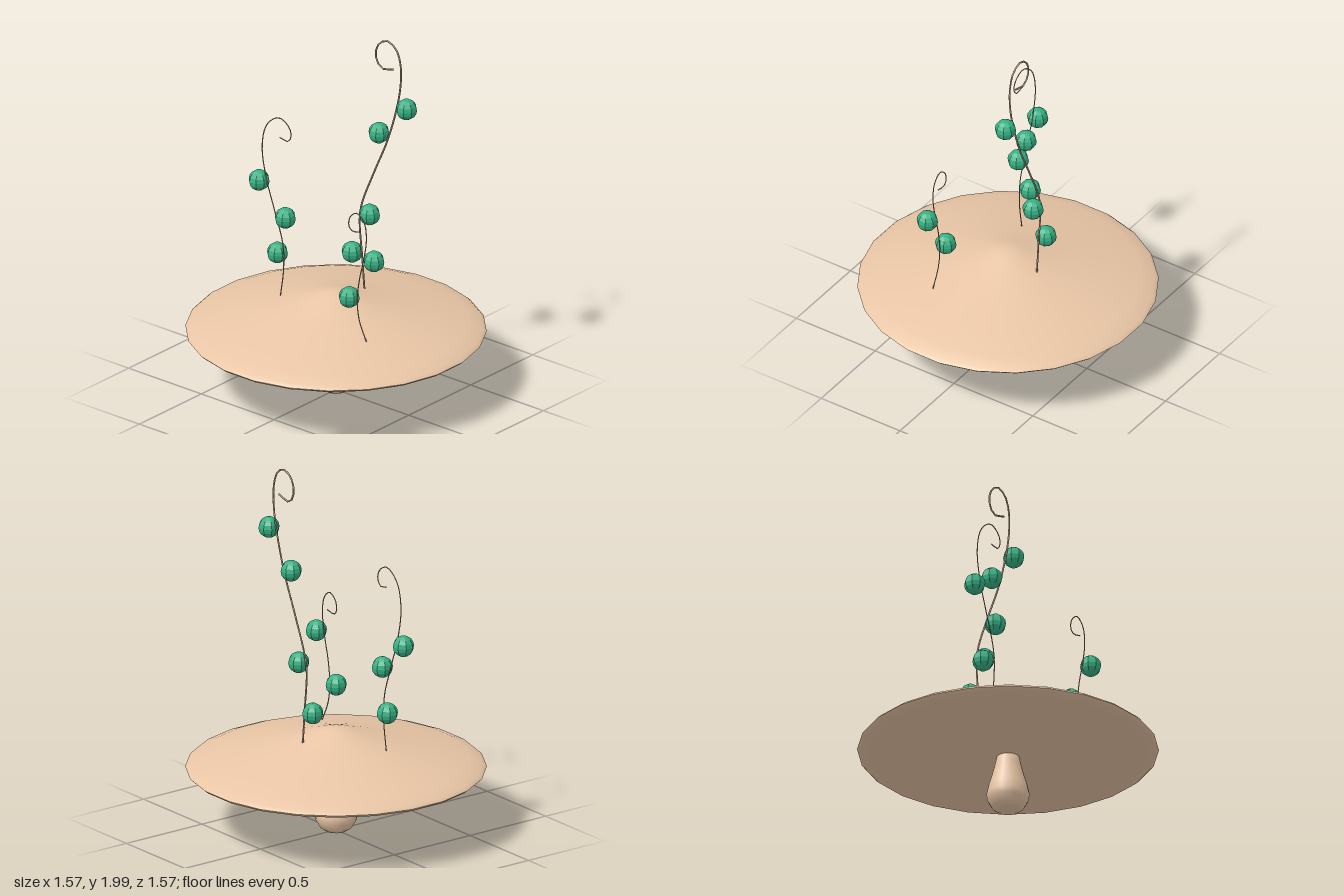
import * as THREE from 'three';

const tan = new THREE.MeshStandardMaterial({ color: 0xe8c5a5, side: THREE.DoubleSide });
const stalkMat = new THREE.MeshStandardMaterial({ color: 0xb89a82 });
const green = new THREE.MeshStandardMaterial({ color: 0x36b184, flatShading: true });

function add(parent, name, geometry, material) {
  const mesh = new THREE.Mesh(geometry, material);
  mesh.name = name;
  parent.add(mesh);
  return mesh;
}

// Surface of revolution from [radius, height] pairs, bottom to top
function lathe(points, sides, turn = 0) {
  const geo = new THREE.LatheGeometry(points.map(p => new THREE.Vector2(...p)), sides);
  return geo.rotateY(turn);
}

// Each tendril lies in a plane of constant z; balls are [x, y, z]
const TENDRILS = [
  {
    name: 'tallTendril', z: -0.2, radius: 0.005,
    path: [[0.025, 0.52], [0.01, 0.7], [-0.008, 0.916], [0.008, 1.01], [0.09, 1.21], [0.19, 1.44],
      [0.26, 1.68], [0.277, 1.81], [0.272, 1.89], [0.245, 1.96], [0.187, 1.994], [0.13, 1.967],
      [0.103, 1.91], [0.113, 1.856], [0.145, 1.826], [0.23, 1.845]],
    balls: [[-0.06, 0.71, -0.2], [0.06, 0.96, -0.2], [0.125, 1.45, -0.2], [0.315, 1.64, -0.2]],
  },
  {
    name: 'rightTendril', z: 0.11, radius: 0.003,
    path: [[-0.288, 0.5], [-0.267, 0.652], [-0.272, 0.8], [-0.33, 0.98], [-0.388, 1.154],
      [-0.414, 1.312], [-0.393, 1.433], [-0.35, 1.49], [-0.293, 1.518], [-0.235, 1.49],
      [-0.214, 1.444], [-0.235, 1.4], [-0.293, 1.407]],
    balls: [[-0.435, 1.12, 0.11], [-0.255, 0.955, 0.11], [-0.33, 0.725, 0.085]],
  },
  {
    name: 'leftTendril', z: 0.21, radius: 0.003,
    path: [[0.388, 0.467], [0.34, 0.573], [0.325, 0.68], [0.34, 0.81], [0.372, 0.943],
      [0.388, 1.064], [0.372, 1.148], [0.325, 1.187], [0.277, 1.154], [0.267, 1.1],
      [0.288, 1.077], [0.346, 1.085]],
    balls: [[0.27, 0.69, 0.21], [0.44, 0.945, 0.21]],
  },
];

export function createModel() {
  const model = new THREE.Group();
  model.name = 'mushroom';

  // Bulbous foot
  add(model, 'stem', lathe([[0, 0.005], [0.055, 0.005], [0.085, 0.025], [0.108, 0.065], [0.113, 0.1],
    [0.102, 0.15], [0.084, 0.21], [0.07, 0.265], [0.06, 0.31], [0.04, 0.335], [0, 0.34]], 20), tan);

  // Wide cap: shallow underside and sloping top meeting in a sharp rim
  const halfSide = Math.PI / 24;
  add(model, 'capUnderside', lathe([[0, 0.312], [0.4, 0.313], [0.6, 0.318], [0.72, 0.33],
    [0.775, 0.343], [0.79, 0.357]], 24, halfSide), tan);
  add(model, 'capTop', lathe([[0.79, 0.357], [0.772, 0.374], [0.7, 0.402], [0.55, 0.439],
    [0.4, 0.475], [0.25, 0.511], [0.15, 0.541], [0.08, 0.563], [0.04, 0.573], [0, 0.575]], 24, halfSide), tan);

  // Curling tendrils with their hanging balls
  const ball = new THREE.SphereGeometry(0.057, 8, 8).rotateY(Math.PI / 8);
  for (const { name, z, radius, path, balls } of TENDRILS) {
    const group = new THREE.Group();
    group.name = name;
    const curve = new THREE.CatmullRomCurve3(path.map(([x, y]) => new THREE.Vector3(x, y, z)));
    add(group, 'stalk', new THREE.TubeGeometry(curve, 48, radius, 6), stalkMat);
    for (const p of balls) add(group, 'ball', ball, green).position.set(...p);
    model.add(group);
  }
  return model;
}
